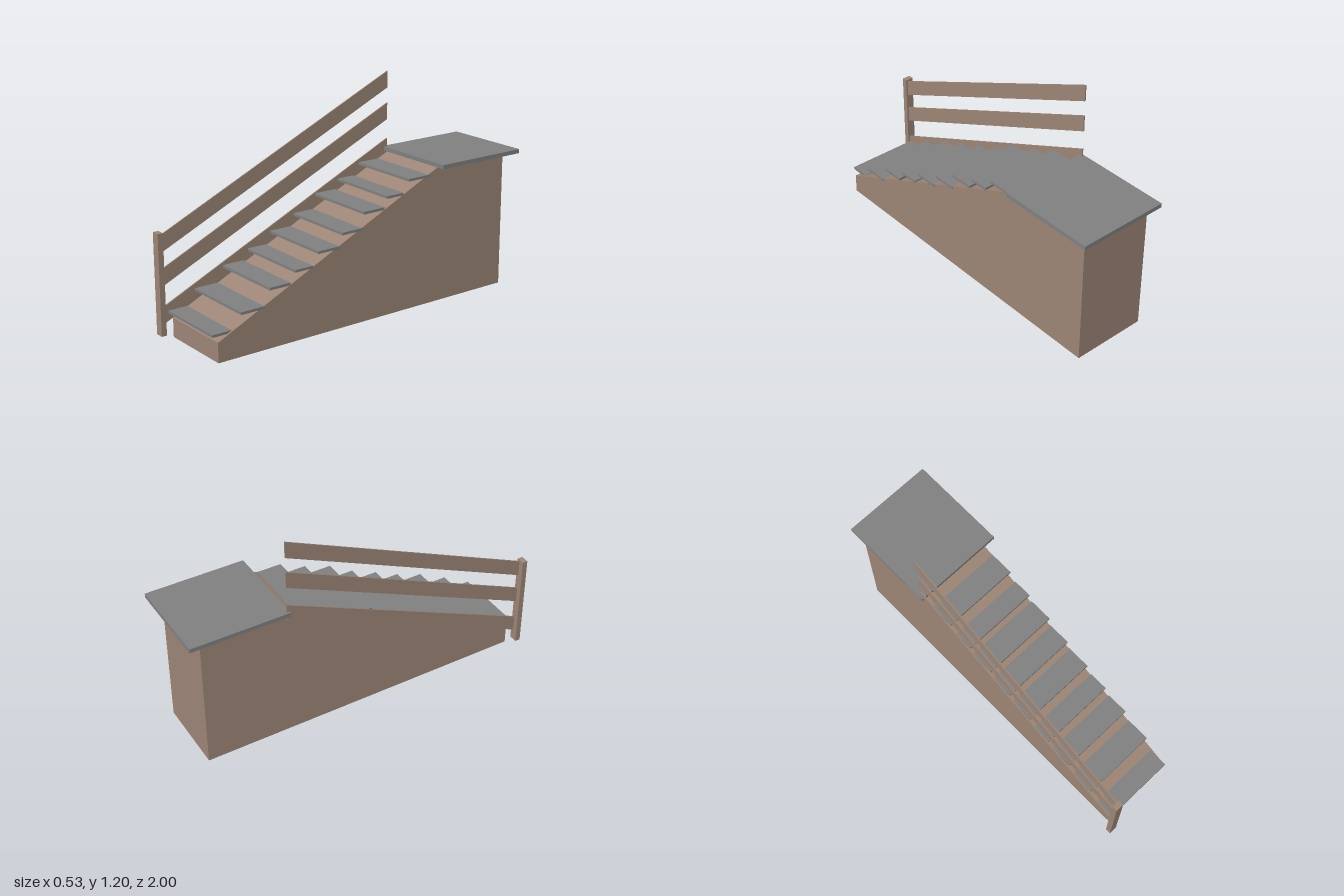
import * as THREE from 'three';

const wood = new THREE.MeshStandardMaterial({ color: 0x9c8576 });
wood.name = 'brown wood';
const slate = new THREE.MeshStandardMaterial({ color: 0x808080 });
slate.name = 'grey tread';

// Box given by its min and max along each axis
function block(name, material, [x0, x1], [y0, y1], [z0, z1]) {
  const mesh = new THREE.Mesh(new THREE.BoxGeometry(x1 - x0, y1 - y0, z1 - z0), material);
  mesh.position.set((x0 + x1) / 2, (y0 + y1) / 2, (z0 + z1) / 2);
  mesh.name = name;
  return mesh;
}

// Side profile of [z, y] points, extruded along x from x0 to x1
function sidePanel(name, points, x0, x1) {
  const shape = new THREE.Shape(points.map(([z, y]) => new THREE.Vector2(-z, y)));
  const geometry = new THREE.ExtrudeGeometry(shape, { depth: x1 - x0, bevelEnabled: false });
  geometry.rotateY(Math.PI / 2);
  geometry.translate(x0, 0, 0);
  const mesh = new THREE.Mesh(geometry, wood);
  mesh.name = name;
  return mesh;
}

export function createModel() {
  const model = new THREE.Group();
  model.name = 'staircase';

  // Solid sloping base
  model.add(sidePanel('base',
    [[0.93, 0], [-0.935, 0], [-0.935, 0.757], [-0.47, 0.757], [0.93, 0.107]], -0.222, 0.2));

  // Landing slab
  model.add(block('landing', slate, [-0.248, 0.262], [0.757, 0.78], [-1, -0.448]));

  // Treads: bottom height, front z, back z
  const treads = [
    [0.135, 0.955, 0.845], [0.219, 0.795, 0.655], [0.307, 0.625, 0.5],
    [0.366, 0.47, 0.36], [0.434, 0.327, 0.19], [0.502, 0.175, 0.04],
    [0.586, 0.035, -0.1], [0.642, -0.118, -0.225], [0.709, -0.262, -0.41],
  ];
  treads.forEach(([y, front, back], i) => {
    model.add(block('tread' + (i + 1), slate, [-0.222, i ? 0.203 : 0.19], [y, y + 0.014], [back, front]));
  });

  // Railing: a post and three sloping boards
  const railing = new THREE.Group();
  railing.name = 'railing';
  railing.add(block('post', wood, [-0.267, -0.22], [0.018, 0.563], [0.97, 1]));
  [[0.081, 0.734], [0.283, 0.933], [0.462, 1.11]].forEach(([low, high], i) => {
    railing.add(sidePanel('rail' + (i + 1),
      [[0.97, low], [-0.467, high], [-0.467, high + 0.092], [0.97, low + 0.092]], -0.238, -0.231));
  });
  model.add(railing);
  return model;
}
